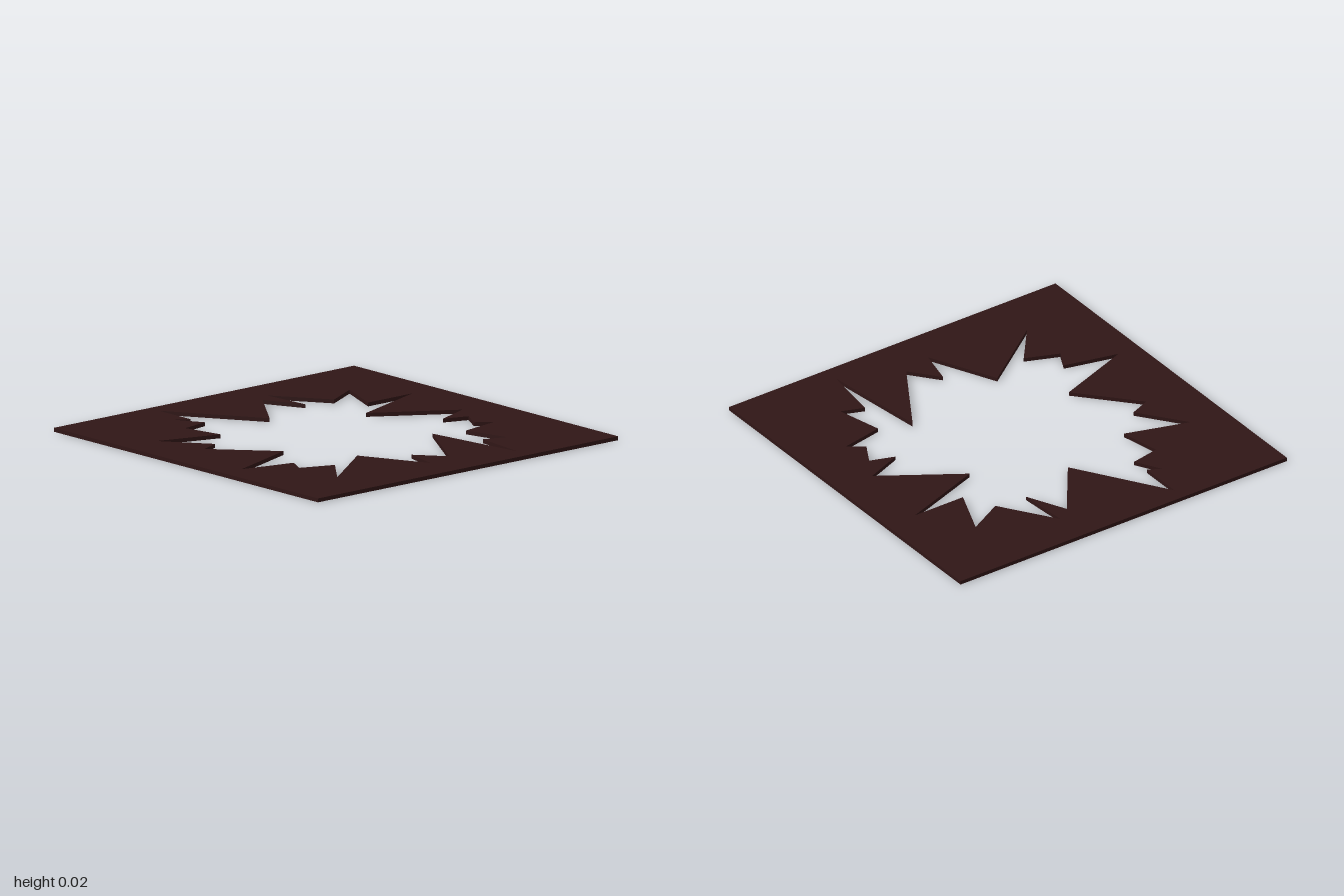
import * as THREE from 'three';

const SIZE = 2, THICKNESS = 0.02;

// Jagged opening, as x, z corner pairs
const HOLE = [
  [-0.365, -0.83], [-0.205, -0.38], [0.06, -0.79], [0.14, -0.59], [0.185, -0.72],
  [0.3, -0.655], [0.36, -0.74], [0.405, -0.51], [0.645, -0.57], [0.6, -0.45],
  [0.91, -0.41], [0.345, -0.34], [0.76, -0.085], [0.61, 0.035], [0.805, 0.08],
  [0.445, 0.25], [0.725, 0.63], [0.52, 0.465], [0.45, 0.64], [0.35, 0.59],
  [0.28, 0.875], [0.13, 0.465], [-0.165, 0.73], [-0.21, 0.62], [-0.45, 0.8],
  [-0.345, 0.465], [-0.56, 0.51], [-0.59, 0.355], [-0.73, 0.435], [-0.685, 0.365],
  [-0.925, 0.365], [-0.44, 0.055], [-0.755, -0.175], [-0.545, -0.275], [-0.815, -0.255],
  [-0.525, -0.45], [-0.63, -0.645], [-0.365, -0.535],
];

export function createModel() {
  const group = new THREE.Group();
  group.name = 'brokenPanel';

  // Square plate with the burst hole cut through it
  const h = SIZE / 2;
  const outline = new THREE.Shape([[-h, -h], [h, -h], [h, h], [-h, h]].map(p => new THREE.Vector2(...p)));
  outline.holes.push(new THREE.Path(HOLE.map(p => new THREE.Vector2(...p))));

  // Lay flat: shape y becomes z, depth runs down from the top face
  const geometry = new THREE.ExtrudeGeometry(outline, { depth: THICKNESS, bevelEnabled: false });
  geometry.rotateX(Math.PI / 2).translate(0, THICKNESS, 0);

  const plate = new THREE.Mesh(geometry, new THREE.MeshStandardMaterial({ color: 0x301616 }));
  plate.name = 'plateWithJaggedHole';
  group.add(plate);
  return group;
}
